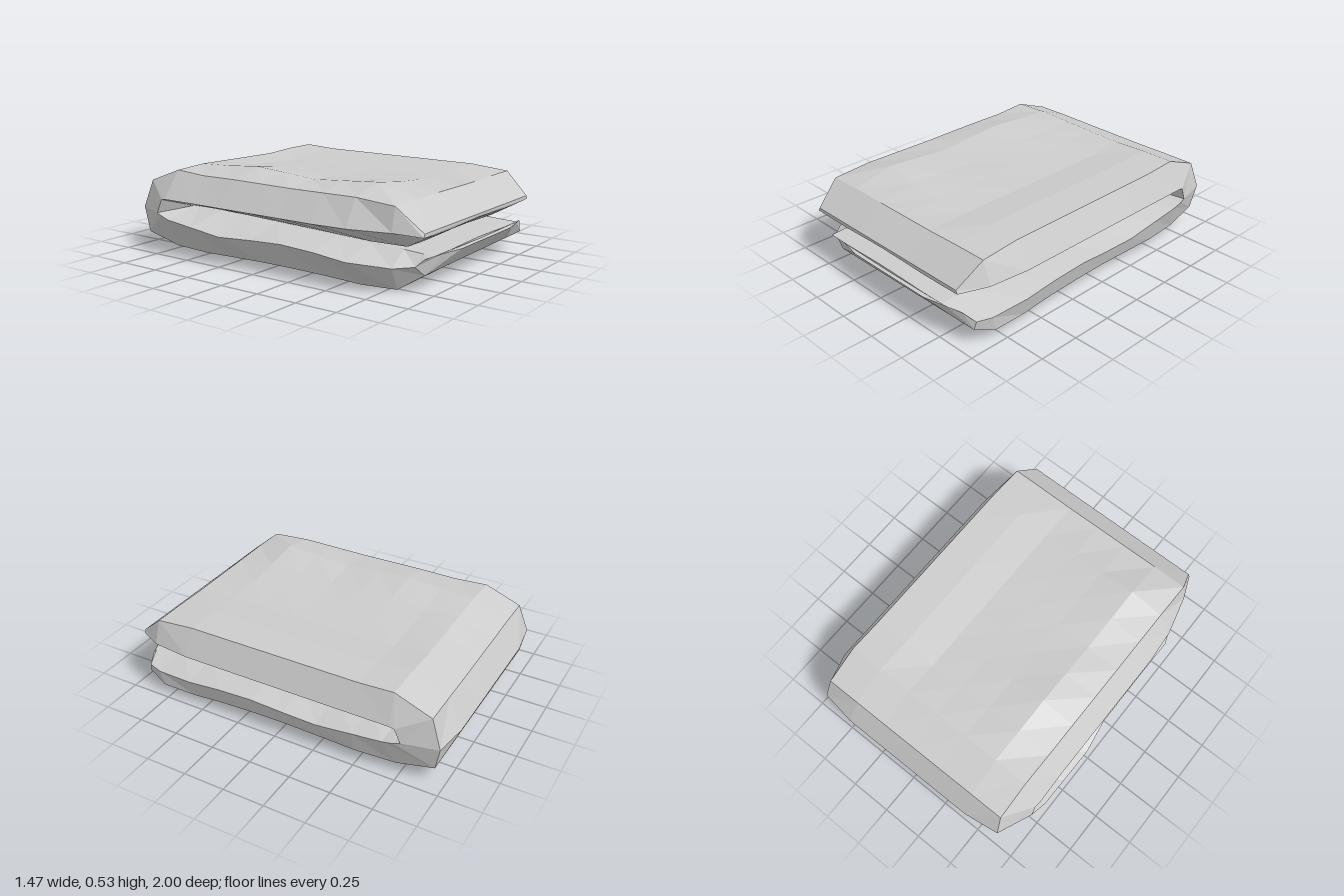
import * as THREE from 'three';

// Columns across the width, as fractions from the right-hand edge (-x) to the left (+x)
const COLS = [0, 0.165, 0.34, 0.5, 0.67, 0.835, 1];
const TOP_WAVE = [-0.012, 0.008, -0.004, -0.014, -0.024, -0.004, -0.004];
const TOP_BUMP = [0.004, 0.032, 0.012, 0.004, 0, 0, 0];
const BODY_Z = [0.59, 0.38, 0.16, -0.05, -0.26, -0.48];

// Height of the surface where the two layers rest on each other
const seam = (z) => 0.244 - 0.024 * Math.sin(1.9 * z);

// Cross-sections along the folded length, from the top front, round the back fold, to the bottom front.
// outer: z, y, xMin, xMax | rim: z, y, xMin, xMax | inner: z, y | wave weight (+ top layer, - bottom layer)
function sections() {
  const bottomY = [0.032, 0.05, 0.06, 0.063, 0.058, 0.052];
  const bottomX = [-0.55, -0.58, -0.6, -0.61, -0.61, -0.61];
  const bottomRimY = [0.165, 0.185, 0.195, 0.185, 0.18, 0.205];
  const top = BODY_Z.map((z) =>
    [z, 0.499, -0.61, 0.66, z, 0.34, z > 0.5 ? -0.7 : -0.715, 0.735, z, seam(z) + 0.004, 1]);
  const bottom = BODY_Z.map((z, i) =>
    [z, bottomY[i], bottomX[i], 0.705, z, bottomRimY[i], z > -0.2 ? -0.705 : -0.738, 0.735, z, seam(z) - 0.004, -1]);
  return [
    [0.98, 0.345, -0.57, 0.62, 0.98, 0.325, -0.58, 0.63, 0.975, 0.32, 0],
    [0.83, 0.475, -0.61, 0.66, 0.83, 0.34, -0.64, 0.71, 0.82, 0.235, 0.15],
    ...top,
    [-0.69, 0.508, -0.61, 0.66, -0.7, 0.34, -0.72, 0.735, -0.68, 0.262, 0.5],
    [-0.91, 0.42, -0.61, 0.66, -0.73, 0.335, -0.715, 0.735, -0.71, 0.26, 0.1],
    [-1.0, 0.25, -0.63, 0.68, -0.765, 0.252, -0.72, 0.73, -0.725, 0.257, 0],
    [-0.94, 0.1, -0.62, 0.66, -0.73, 0.24, -0.725, 0.735, -0.71, 0.254, -0.2],
    [-0.72, 0.05, -0.6, 0.68, -0.66, 0.225, -0.738, 0.735, -0.67, 0.252, -0.7],
    ...bottom.reverse(),
    [0.8, 0.037, -0.53, 0.71, 0.82, 0.15, -0.62, 0.715, 0.8, 0.218, -1],
    [0.92, 0.1, -0.46, 0.68, 0.91, 0.155, -0.54, 0.69, 0.92, 0.213, -0.3],
    [1.0, 0.198, -0.36, 0.52, 0.94, 0.19, -0.5, 0.62, 0.98, 0.21, 0],
  ];
}

// One closed ring: outer face, left rim, inner face, right rim
function ring([oz, oy, ox0, ox1, rz, ry, rx0, rx1, iz, iy, w]) {
  const swell = 0.5 + 0.5 * Math.cos((oz + 0.25) * 7.5);
  const outer = COLS.map((t, i) => {
    const wave = w > 0 ? w * (TOP_WAVE[i] + TOP_BUMP[i] * swell) : -w * 0.046 * (t - 0.5);
    // Corners of the fold and of the lower lip are set back
    const atCorner = Math.abs(oz) === 1 && (i === 0 || i === 6);
    return [THREE.MathUtils.lerp(ox0, ox1, t), oy + wave, atCorner ? oz * 0.97 : oz];
  });
  // The layers touch only well inside the rims, leaving a tapering gap along the sides
  const inner = COLS.map((t, i) => [THREE.MathUtils.lerp(-0.47, 0.5, t), iy + 0.004 * Math.sin(iz * 4 + i * 1.3), iz]);
  return [...outer, [rx1, ry, rz], ...inner.reverse(), [rx0, ry, rz]];
}

// Loft through the rings, closing both front ends
function loft(rings) {
  const n = rings[0].length;
  const position = rings.flat(2);
  const index = [];
  for (let s = 0; s < rings.length - 1; s++) {
    for (let i = 0; i < n; i++) {
      const j = (i + 1) % n;
      const a = s * n + i, b = s * n + j, c = b + n, d = a + n;
      index.push(a, b, c, a, c, d);
    }
  }
  const cap = (s, flip) => {
    const centre = position.length / 3;
    for (let k = 0; k < 3; k++) position.push(rings[s].reduce((sum, p) => sum + p[k], 0) / n);
    for (let i = 0; i < n; i++) {
      const a = s * n + i, b = s * n + (i + 1) % n;
      index.push(centre, flip ? b : a, flip ? a : b);
    }
  };
  cap(0, true);
  cap(rings.length - 1, false);
  const geometry = new THREE.BufferGeometry();
  geometry.setAttribute('position', new THREE.Float32BufferAttribute(position, 3));
  geometry.setIndex(index);
  geometry.computeVertexNormals();
  return geometry;
}

export function createModel() {
  const group = new THREE.Group();
  group.name = 'foldedBlanket';
  const material = new THREE.MeshStandardMaterial({ color: 0xcccccc, flatShading: true });
  // Thick padded sheet folded once at the back
  const blanket = new THREE.Mesh(loft(sections().map(ring)), material);
  blanket.name = 'blanket';
  group.add(blanket);
  return group;
}
